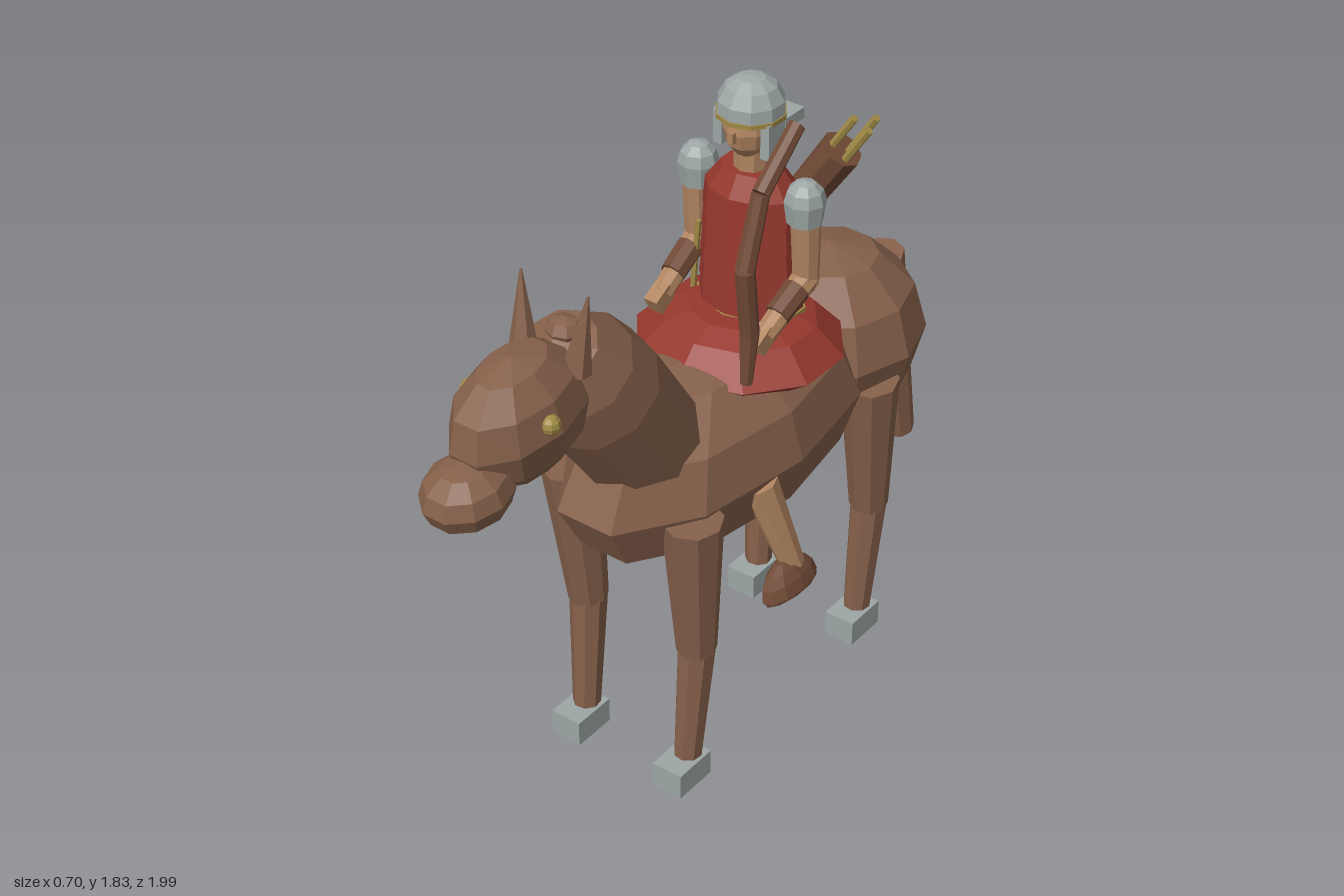
import * as THREE from 'three';

const mat = (name, color) => {
  const m = new THREE.MeshStandardMaterial({ color, flatShading: true });
  m.name = name;
  return m;
};

export function createModel() {
  const horse = mat('horse brown', 0x85604a);
  const red = mat('cloth red', 0x96382d);
  const steel = mat('steel grey', 0x9da7a5);
  const skin = mat('skin', 0xb0845f);
  const gold = mat('brass', 0xa08a45);
  const wood = mat('leather and wood', 0x714a36);

  const root = new THREE.Group();
  root.name = 'mountedArcher';
  const V = (p) => new THREE.Vector3(...p);
  const UP = new THREE.Vector3(0, 1, 0);

  function add(name, geo, material, pos = [0, 0, 0], rot = [0, 0, 0]) {
    const m = new THREE.Mesh(geo, material);
    m.name = name;
    m.position.set(...pos);
    m.rotation.set(...rot);
    root.add(m);
    return m;
  }
  // Faceted ellipsoid
  function ball(name, material, pos, r, seg = 10, rings = 6, rot) {
    return add(name, new THREE.SphereGeometry(1, seg, rings).scale(...r), material, pos, rot);
  }
  // Tapered cylinder from point a to point b
  function limb(name, material, a, b, ra, rb, seg = 8) {
    const A = V(a), B = V(b), d = B.clone().sub(A);
    const m = add(name, new THREE.CylinderGeometry(rb, ra, d.length(), seg), material);
    m.position.copy(A).add(B).multiplyScalar(0.5);
    m.quaternion.setFromUnitVectors(UP, d.normalize());
    return m;
  }
  const lathe = (pts, seg) =>
    new THREE.LatheGeometry(pts.map(([r, y]) => new THREE.Vector2(r, y)), seg);

  // Horse trunk
  ball('horseBody', horse, [0, 0.87, -0.07], [0.275, 0.27, 0.57]);
  ball('horseRump', horse, [0, 0.918, -0.565], [0.265, 0.265, 0.275]);

  // Neck turned about a forward-leaning axis
  const neck = add('horseNeck', lathe([[0, 0], [0.165, 0], [0.17, 0.3], [0.15, 0.42], [0.1, 0.52], [0, 0.56]], 10),
    horse, [0, 1.0, 0.245]);
  neck.rotation.x = Math.atan2(0.568, 0.824);

  // Head
  ball('horseHead', horse, [0, 1.325, 0.69], [0.135, 0.17, 0.21], 10, 6, [0.12, 0, 0]);
  ball('horseMuzzle', horse, [0, 1.212, 0.88], [0.108, 0.085, 0.123], 10, 6, [0.1, 0, 0]);
  ball('horseForelock', horse, [0, 1.47, 0.52], [0.05, 0.035, 0.045], 8, 4);

  // Tail
  limb('horseTail', horse, [0, 1.02, -0.82], [0, 0.365, -0.95], 0.065, 0.048);

  for (const s of [1, -1]) {
    ball('horseEye', gold, [s * 0.122, 1.36, 0.72], [0.026, 0.026, 0.026], 8, 6);
    limb('horseEar', horse, [s * 0.08, 1.41, 0.575], [s * 0.1, 1.61, 0.55], 0.037, 0.003, 6);

    // Horse legs: top, knee and ankle depths, then hoof centre
    for (const [label, zTop, zKnee, zFoot, zHoof] of [
      ['front', 0.285, 0.25, 0.28, 0.305],
      ['hind', -0.49, -0.533, -0.505, -0.485],
    ]) {
      limb(label + 'LegUpper', horse, [s * 0.195, 0.86, zTop], [s * 0.18, 0.42, zKnee], 0.08, 0.054);
      limb(label + 'LegLower', horse, [s * 0.18, 0.425, zKnee], [s * 0.172, 0.06, zFoot], 0.052, 0.038);
      add(label + 'Hoof', new THREE.BoxGeometry(0.092, 0.075, 0.13), steel, [s * 0.172, 0.0375, zHoof]);
    }

    // Rider shin and boot
    limb('riderShin', skin, [s * 0.225, 0.85, 0.05], [s * 0.292, 0.585, -0.01], 0.05, 0.034);
    add('riderBoot', new THREE.SphereGeometry(1, 10, 4, 0, Math.PI * 2, 0, Math.PI / 2).scale(0.046, 0.085, 0.105),
      wood, [s * 0.305, 0.533, 0.015], [0, 0, s * 0.3]);
    add('bootSole', new THREE.CylinderGeometry(1, 0.95, 0.012, 10).scale(0.046, 1, 0.105),
      wood, [s * 0.304, 0.529, 0.015], [0, 0, s * 0.3]);

    // Shoulder guard
    add('shoulderGuard', lathe([[0, -0.06], [0.046, -0.06], [0.054, 0], [0.046, 0.03], [0.027, 0.05], [0, 0.058]], 8),
      steel, [s * 0.165, 1.53, -0.21]);

    // Arm bent forward to the hand
    limb('upperArm', skin, [s * 0.168, 1.5, -0.21], [s * 0.17, 1.3, -0.215], 0.04, 0.034);
    ball('elbow', skin, [s * 0.17, 1.3, -0.215], [0.035, 0.035, 0.035], 8, 4);
    limb('forearm', skin, [s * 0.17, 1.31, -0.22], [s * 0.162, 1.215, -0.05], 0.036, 0.028);
    limb('wristGuard', wood, [s * 0.168, 1.29, -0.18], [s * 0.164, 1.25, -0.1], 0.036, 0.034);
    add('hand', new THREE.BoxGeometry(0.042, 0.05, 0.06), skin, [s * 0.16, 1.21, -0.04], [0.5, 0, 0]);

    // Cheek guard
    add('cheekGuard', new THREE.BoxGeometry(0.026, 0.095, 0.066), steel, [s * 0.072, 1.678, -0.198]);
  }

  // Skirt draped over the saddle
  add('riderSkirt', lathe([[0, 1.02], [0.2, 1.025], [0.285, 1.09], [0.21, 1.165], [0.14, 1.19], [0, 1.19]], 10)
    .scale(1, 1, 0.92), red, [0, 0, -0.168]);

  // Banded torso
  const bands = 5;
  for (let i = 0; i < bands; i++) {
    const r = 0.15 - i * 0.003;
    add('torsoBand', new THREE.CylinderGeometry(r - 0.008, r, 0.075, 10).scale(1, 1, 0.77),
      red, [0, 1.2 + i * 0.07, -0.215]);
  }
  add('torsoTop', new THREE.CylinderGeometry(0.085, 0.13, 0.06, 10).scale(1, 1, 0.77), red, [0, 1.545, -0.215]);
  add('belt', new THREE.CylinderGeometry(0.153, 0.153, 0.014, 10).scale(1, 1, 0.78), gold, [0, 1.183, -0.215]);
  limb('dagger', gold, [-0.15, 1.18, -0.168], [-0.138, 1.38, -0.175], 0.008, 0.008, 6);

  // Head and helmet
  limb('riderNeck', skin, [0, 1.55, -0.21], [0, 1.64, -0.21], 0.045, 0.045);
  ball('riderHead', skin, [0, 1.69, -0.2], [0.064, 0.082, 0.07], 10, 6);
  add('riderNose', new THREE.BoxGeometry(0.016, 0.03, 0.02), skin, [0, 1.685, -0.13]);
  add('helmetDome', lathe([[0, -0.01], [0.088, -0.01], [0.086, 0.03], [0.066, 0.066], [0.036, 0.085], [0, 0.09]], 10),
    steel, [0, 1.735, -0.207]);
  add('helmetRim', new THREE.CylinderGeometry(0.091, 0.091, 0.012, 10), gold, [0, 1.726, -0.207]);
  add('neckGuard', new THREE.BoxGeometry(0.155, 0.03, 0.08), steel, [0, 1.697, -0.283]);

  // Bow in the left hand
  const bow = [[1.755, -0.175, 0.022], [1.63, -0.03, 0.024], [1.445, 0.03, 0.026], [1.25, 0.008, 0.025], [1.11, 0.02, 0.016]];
  for (let i = 0; i < bow.length - 1; i++) {
    const [y0, z0, r0] = bow[i], [y1, z1, r1] = bow[i + 1];
    limb('bowSegment', wood, [0.16, y0, z0], [0.16, y1, z1], r0, r1);
  }

  // Quiver slung across the back
  limb('quiver', wood, [-0.11, 1.19, -0.37], [0.145, 1.585, -0.395], 0.046, 0.056);
  for (const [dx, dz, len] of [[-0.02, 0.012, 0.14], [0.012, -0.014, 0.17], [0.022, 0.016, 0.15]]) {
    const x = 0.13 + dx, y = 1.56 - dx * 0.6;
    limb('arrow', gold, [x, y, -0.392 + dz], [x + len * 0.53, y + len * 0.83, -0.398 + dz], 0.011, 0.011, 6);
  }

  return root;
}
